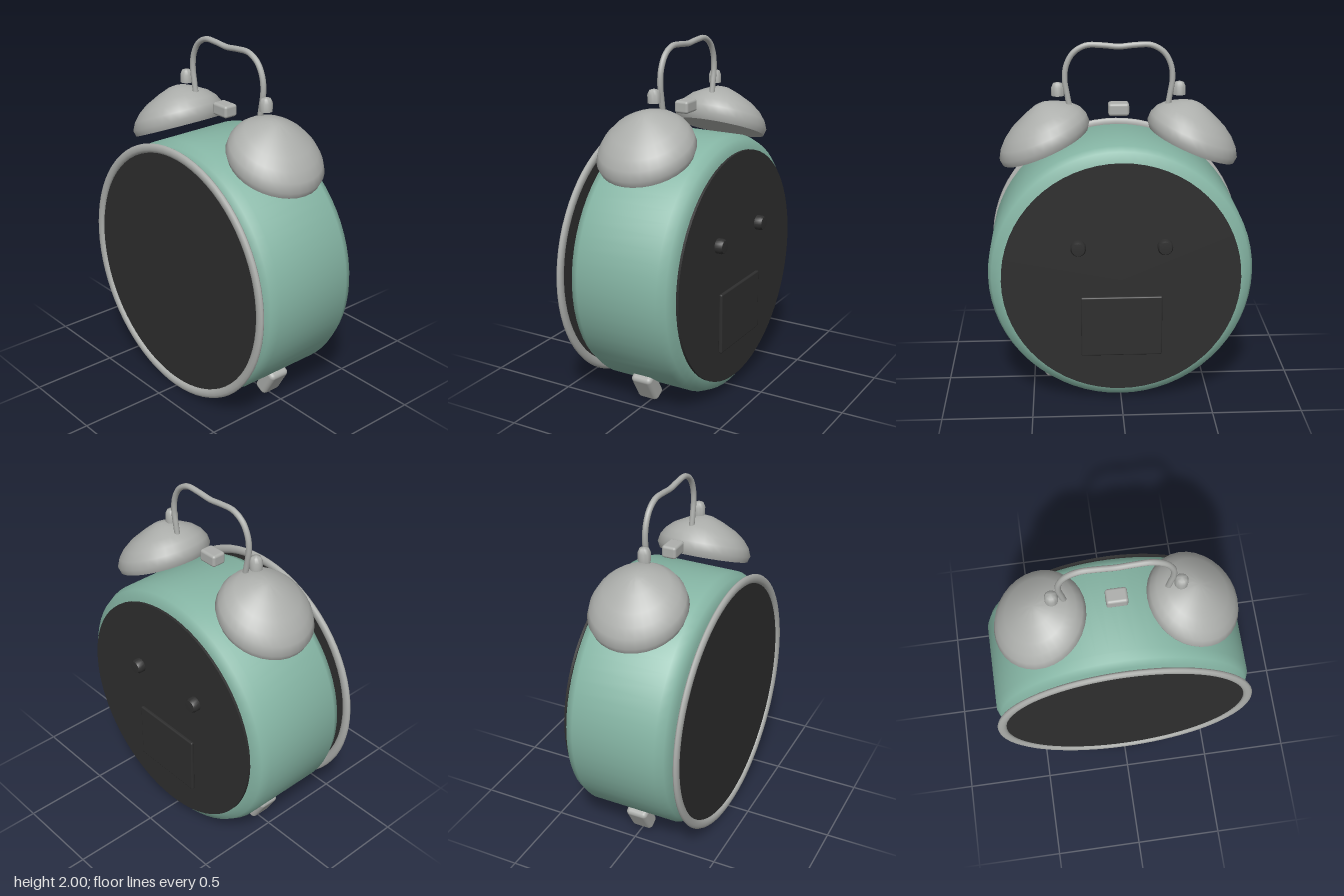
import * as THREE from 'three';
import { toCreasedNormals } from 'three/addons/utils/BufferGeometryUtils.js';
import { RoundedBoxGeometry } from 'three/addons/geometries/RoundedBoxGeometry.js';

const CY = 0.744; // height of the case centre

function material(name, color, side = THREE.FrontSide) {
  const m = new THREE.MeshStandardMaterial({ color, side });
  m.name = name;
  return m;
}

// Turned part from [radius, height] pairs, with sharp edges kept
function turned(points, segments, crease = 1.0) {
  const geometry = new THREE.LatheGeometry(points.map(([r, y]) => new THREE.Vector2(r, y)), segments);
  return toCreasedNormals(geometry, crease);
}

export function createModel() {
  const clock = new THREE.Group();
  clock.name = 'alarmClock';
  const green = material('green enamel', 0x86b6a5);
  const metal = material('grey metal', 0xadafac);
  const black = material('black', 0x2e2e2e);
  const dial = material('black dial', 0x2e2e2e, THREE.DoubleSide);

  function add(name, geometry, mat, x = 0, y = 0, z = 0) {
    const mesh = new THREE.Mesh(geometry, mat);
    mesh.name = name;
    mesh.position.set(x, y, z);
    clock.add(mesh);
    return mesh;
  }

  // Drum-shaped case with bevelled rims
  const caseProfile = [
    [0, -0.315], [0.662, -0.315], [0.714, -0.292], [0.735, -0.245],
    [0.735, 0.245], [0.714, 0.292], [0.662, 0.315], [0, 0.315],
  ];
  add('case', turned(caseProfile, 64).rotateX(Math.PI / 2), green, 0, CY, 0);

  // Front ring and dial, standing just ahead of the case
  const ring = new THREE.TorusGeometry(0.716, 0.026, 10, 72).scale(1, 1, 0.62);
  add('frontRing', ring, metal, 0, CY, 0.367);
  add('dial', new THREE.CircleGeometry(0.7, 72), dial, 0, CY, 0.367);

  // Back plate, battery cover and setting knobs
  add('backPlate', new THREE.CylinderGeometry(0.66, 0.66, 0.014, 64).rotateX(Math.PI / 2), black, 0, CY, -0.33);
  add('batteryCover', new RoundedBoxGeometry(0.45, 0.35, 0.022, 2, 0.008), black, 0, 0.475, -0.349);
  const knobProfile = [[0, 0], [0.042, 0], [0.042, 0.03], [0.035, 0.043], [0, 0.045]];
  for (const s of [-1, 1]) {
    add('settingKnob', turned(knobProfile, 20).rotateX(-Math.PI / 2), black, s * 0.236, 0.938, -0.337);
  }

  const bellProfile = [
    [0, 0], [0.258, 0], [0.272, 0.035], [0.258, 0.08], [0.228, 0.122],
    [0.18, 0.162], [0.1, 0.203], [0.04, 0.226], [0, 0.23],
  ];
  const finialProfile = [[0, 0], [0.035, 0], [0.035, 0.045], [0.025, 0.068], [0, 0.076]];

  for (const s of [-1, 1]) {
    // Bell: a dome whose crown leans inwards, tilted outwards
    const dome = new THREE.LatheGeometry(bellProfile.map(([r, y]) => new THREE.Vector2(r, y)), 32);
    const p = dome.attributes.position;
    for (let i = 0; i < p.count; i++) p.setX(i, p.getX(i) - s * (0.3 * p.getY(i) - 0.012));
    const bell = add('bell', toCreasedNormals(dome, 0.9), metal, s * 0.397, 1.425, 0);
    bell.rotation.z = -s * 0.395;

    // Finial above the bell
    add('bellFinial', turned(finialProfile, 20), metal, s * 0.334, 1.703, 0);

    // Foot, slanting inwards to the ground
    const foot = add('foot', new RoundedBoxGeometry(0.085, 0.18, 0.13, 3, 0.025), metal, s * 0.427, 0.112, 0.005);
    foot.rotation.z = -s * 0.52;
  }

  // Hammer block between the bells
  add('hammer', new RoundedBoxGeometry(0.115, 0.07, 0.085, 3, 0.015), metal, 0, 1.626, 0);

  // Carrying handle, mirrored about the middle
  const half = [
    [0.268, 1.63], [0.282, 1.71], [0.294, 1.79], [0.286, 1.868],
    [0.246, 1.94], [0.177, 1.979], [0.09, 1.979],
  ];
  const path = [
    ...half.map(([x, y]) => new THREE.Vector3(-x, y, 0)),
    new THREE.Vector3(0, 1.971, 0),
    ...half.slice().reverse().map(([x, y]) => new THREE.Vector3(x, y, 0)),
  ];
  add('handle', new THREE.TubeGeometry(new THREE.CatmullRomCurve3(path), 64, 0.016, 10), metal, 0, 0, -0.015);

  return clock;
}
